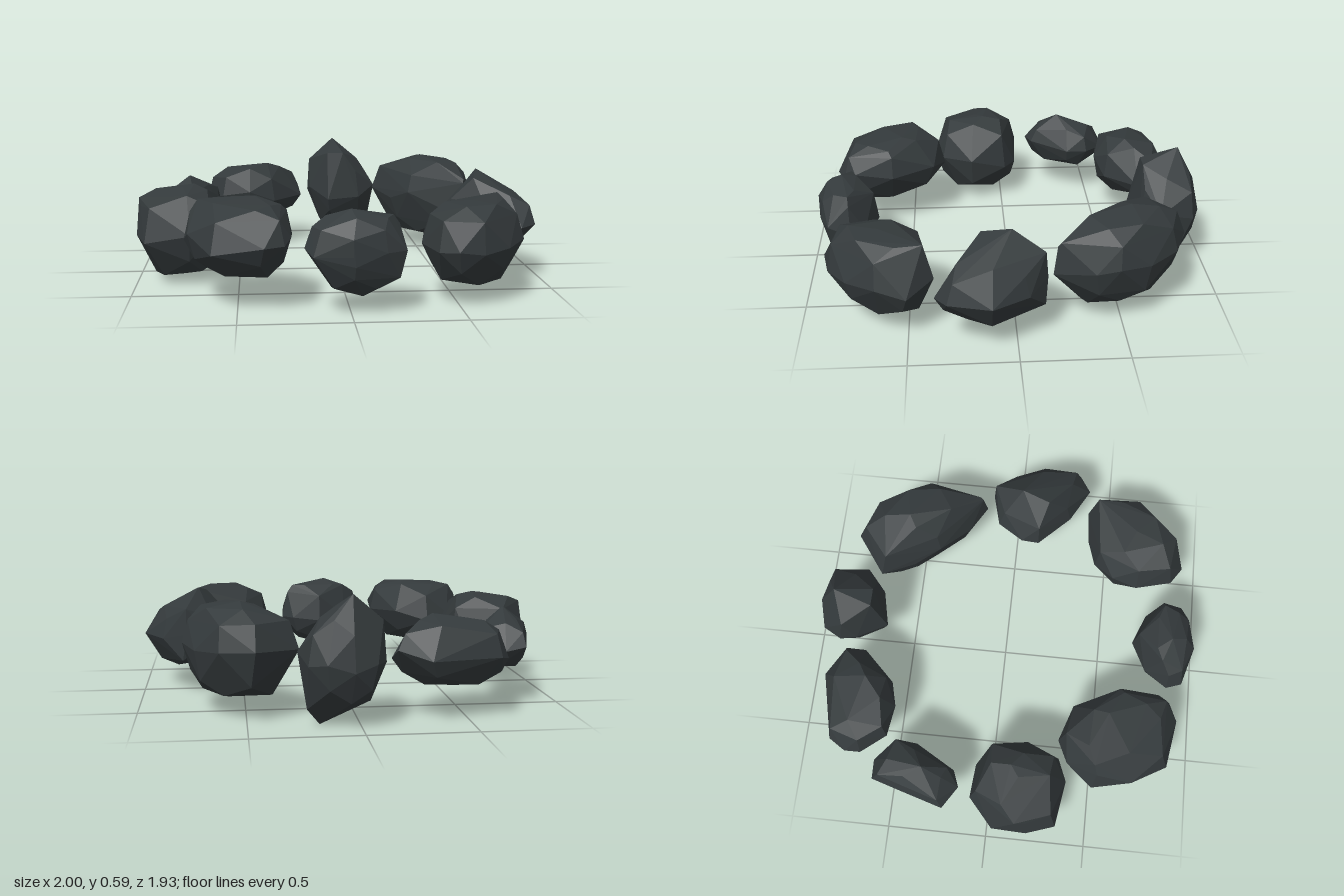
import * as THREE from 'three';
import { ConvexGeometry } from 'three/addons/geometries/ConvexGeometry.js';

const rockMaterial = new THREE.MeshStandardMaterial({ color: 0x343a3c, flatShading: true });

function seeded(seed) {
  let s = seed * 7919 + 17;
  return () => ((s = (s * 16807) % 2147483647) / 2147483647);
}

// One faceted boulder: a plan outline (x, z pairs) gives the widest belt, and
// chipped rings above and below close it. Peaks are extra corners (x, y, z).
function stone(name, seed, low, high, outline, peaks) {
  const rand = seeded(seed);
  rand();
  const belt = [];
  for (let i = 0; i < outline.length; i += 2) belt.push([outline[i], outline[i + 1]]);
  const n = belt.length;
  const cx = belt.reduce((sum, p) => sum + p[0], 0) / n;
  const cz = belt.reduce((sum, p) => sum + p[1], 0) / n;
  const h = high - low;
  const points = [];
  const add = ([x, z], scale, level) =>
    points.push(new THREE.Vector3(cx + (x - cx) * scale, low + h * level, cz + (z - cz) * scale));

  belt.forEach((p, i) => {
    add(p, 1, 0.5 + (rand() - 0.5) * 0.2);
    // Alternate corners form the shoulders, crown and base
    if (i % 2 === 0) {
      add(p, 0.84 + rand() * 0.06, 0.8 + rand() * 0.06);
      add(p, 0.52 + rand() * 0.1, 0.04 + rand() * 0.05);
    } else {
      add(p, 0.52 + rand() * 0.12, 0.95 + rand() * 0.04);
      add(p, 0.82 + rand() * 0.06, 0.2 + rand() * 0.06);
    }
  });
  add([cx, cz], 0, 1);
  add([cx, cz], 0, 0);
  peaks.forEach((p) => points.push(new THREE.Vector3(...p)));

  const mesh = new THREE.Mesh(new ConvexGeometry(points), rockMaterial);
  mesh.name = name;
  return mesh;
}

export function createModel() {
  const ring = new THREE.Group();
  ring.name = 'stoneRing';

  ring.add(
    stone('frontStone', 1, 0.1, 0.45,
      [-0.205, 0.84, -0.11, 0.73, 0.04, 0.66, 0.19, 0.72, 0.25, 0.79, 0.24, 0.9, 0.15, 0.94, 0, 0.965, -0.17, 0.92],
      [[-0.11, 0.44, 0.8], [0.19, 0.44, 0.8], [0, 0.475, 0.84], [0, 0.36, 0.965], [0.01, 0.24, 0.965], [0.05, 0.09, 0.87]]),
    stone('frontLeftStone', 2, 0.08, 0.47,
      [0.34, 0.66, 0.37, 0.53, 0.46, 0.43, 0.6, 0.39, 0.74, 0.375, 0.84, 0.5, 0.82, 0.64, 0.72, 0.78, 0.59, 0.87, 0.47, 0.895, 0.39, 0.84],
      [[0.74, 0.47, 0.42], [0.68, 0.1, 0.45], [0.42, 0.12, 0.72]]),
    stone('leftStone', 3, 0.15, 0.43,
      [0.55, 0.12, 0.55, 0.03, 0.63, -0.1, 0.78, -0.14, 0.9, -0.05, 1, 0.12, 0.96, 0.32, 0.88, 0.375, 0.71, 0.28],
      [[0.72, 0.53, 0.02], [0.68, 0.5, 0.16], [0.78, 0.44, -0.13], [0.8, 0.18, -0.13], [0.92, 0.15, 0.12], [0.83, 0.12, 0.08]]),
    stone('backLeftStone', 4, 0.08, 0.52,
      [0.26, -0.68, 0.46, -0.825, 0.62, -0.76, 0.73, -0.62, 0.79, -0.47, 0.785, -0.36, 0.72, -0.17, 0.59, -0.25, 0.43, -0.39, 0.35, -0.52],
      [[0.52, 0.535, -0.55], [0.46, 0.46, -0.78], [0.7, 0.42, -0.19], [0.66, 0.09, -0.34]]),
    stone('backStone', 5, 0.1, 0.5,
      [-0.11, -0.85, -0.06, -0.94, 0.04, -0.97, 0.16, -0.96, 0.24, -0.92, 0.275, -0.75, 0.18, -0.66, 0, -0.62, -0.1, -0.76],
      [[0.04, 0.6, -0.86], [-0.1, 0.48, -0.82], [0, 0.53, -0.68], [0.09, 0.53, -0.68], [0.18, 0.01, -0.79], [0.24, 0.09, -0.84]]),
    stone('backRightStone', 6, 0.15, 0.46,
      [-0.69, -0.66, -0.69, -0.74, -0.64, -0.82, -0.31, -0.895, -0.17, -0.8, -0.155, -0.71, -0.31, -0.55, -0.45, -0.51, -0.6, -0.535],
      [[-0.35, 0.48, -0.66]]),
    stone('rightBackStone', 7, 0.17, 0.41,
      [-0.93, -0.22, -0.86, -0.45, -0.82, -0.58, -0.72, -0.585, -0.61, -0.49, -0.62, -0.38, -0.74, -0.18, -0.82, -0.15],
      [[-0.77, 0.46, -0.33]]),
    stone('rightStone', 8, 0.03, 0.47,
      [-1, 0.2, -0.99, 0.03, -0.86, -0.09, -0.68, -0.08, -0.59, -0.02, -0.55, 0.17, -0.62, 0.33, -0.73, 0.375, -0.95, 0.34],
      [[-0.99, 0.42, 0.14], [-0.72, 0.48, 0.1], [-0.92, 0.06, 0.14], [-0.75, 0.1, -0.06]]),
    stone('frontRightStone', 9, 0.14, 0.48,
      [-0.75, 0.5, -0.65, 0.37, -0.53, 0.32, -0.36, 0.38, -0.25, 0.6, -0.26, 0.8, -0.29, 0.86, -0.38, 0.9, -0.61, 0.865, -0.72, 0.69],
      [[-0.42, 0.49, 0.55], [-0.68, 0.47, 0.5], [-0.3, 0.46, 0.62]])
  );
  return ring;
}
